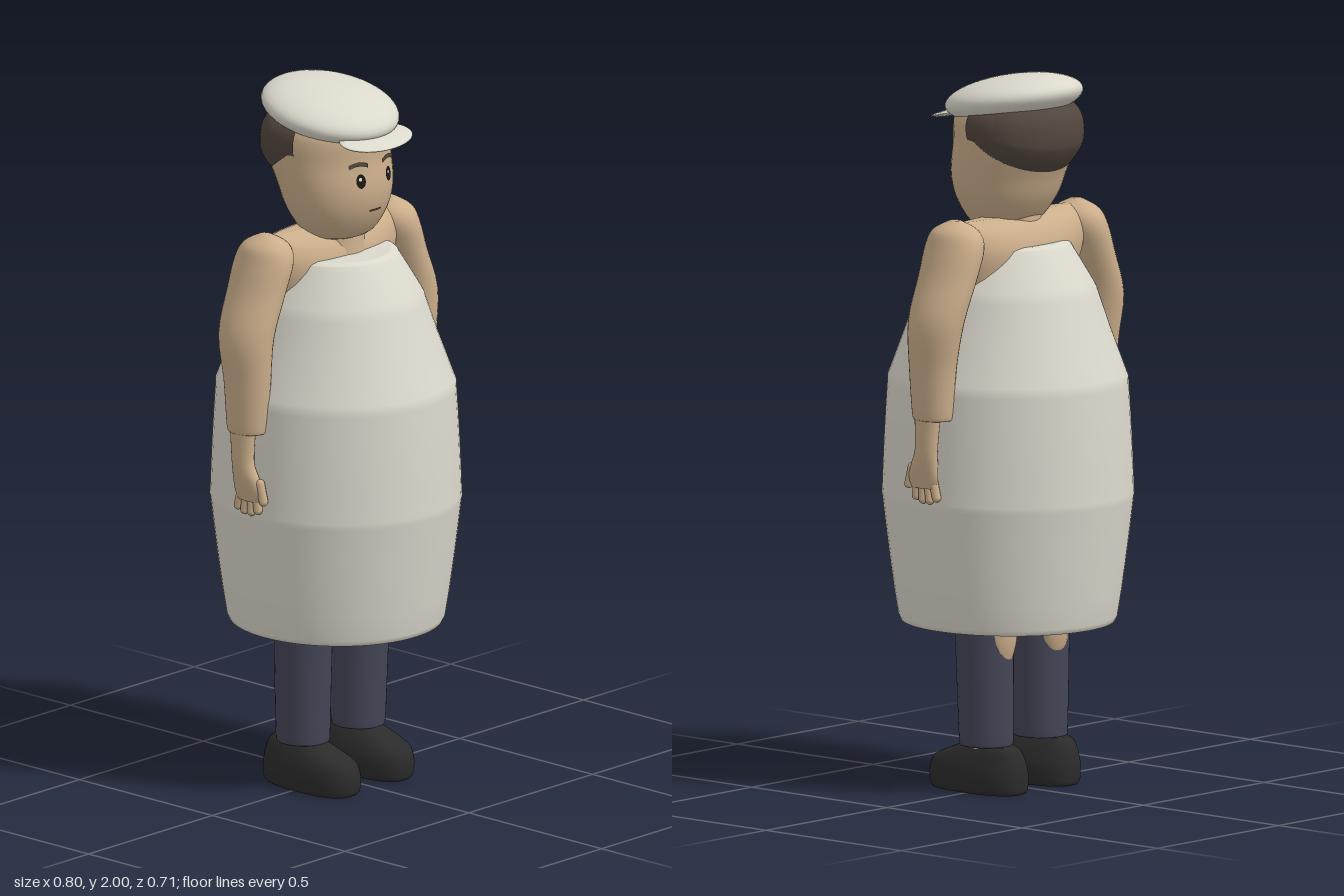
import * as THREE from 'three';
import { ParametricGeometry } from 'three/addons/geometries/ParametricGeometry.js';

const flat = (name, color, side = THREE.FrontSide) => {
  const m = new THREE.MeshStandardMaterial({ color, side });
  m.name = name;
  return m;
};

// Catmull-Rom through rows of numbers, n steps per span
function smoothRows(rows, n) {
  const out = [];
  for (let j = 0; j < rows.length - 1; j++) {
    const p = [-1, 0, 1, 2].map(k => rows[THREE.MathUtils.clamp(j + k, 0, rows.length - 1)]);
    for (let s = 0; s < n; s++) {
      const t = s / n;
      out.push(p[1].map((b, i) => {
        const a = p[0][i], c = p[2][i], d = p[3][i];
        return b + 0.5 * t * (c - a + t * (2 * a - 5 * b + 4 * c - d + t * (3 * (b - c) + d - a)));
      }));
    }
  }
  out.push(rows[rows.length - 1]);
  return out;
}

const bend = (v, power) => Math.sign(v) * Math.abs(v) ** (2 / power);

// Closed solid from stacked rings [y, centreX, centreZ, radiusX, radiusZ], lowest first
function loft(rows, { seg = 32, power = 2, steps = 4 } = {}) {
  const r = smoothRows(rows, steps), first = r[0], last = r[r.length - 1];
  const point = q => [q[0], q[1], q[2], 0, 0];
  const rings = [point(first), first, ...r, last, point(last)];
  const pos = [], index = [];
  rings.forEach(([y, cx, cz, rx, rz], j) => {
    for (let i = 0; i < seg; i++) {
      const t = i / seg * Math.PI * 2;
      pos.push(cx + rx * bend(Math.cos(t), power), y, cz + rz * bend(Math.sin(t), power));
      if (j === rings.length - 1) continue;
      const a = j * seg + i, b = j * seg + (i + 1) % seg, c = a + seg, d = b + seg;
      index.push(a, c, b, b, c, d);
    }
  });
  const g = new THREE.BufferGeometry();
  g.setAttribute('position', new THREE.Float32BufferAttribute(pos, 3));
  g.setIndex(index);
  g.computeVertexNormals();
  return g;
}

// Head rings, also used to fit the hair and the face
const HEAD = [
  [1.568, 0, 0.01, 0.06, 0.05], [1.585, 0, 0.01, 0.108, 0.09], [1.65, 0, 0.005, 0.147, 0.135],
  [1.72, 0, -0.003, 0.164, 0.157], [1.80, 0, -0.025, 0.171, 0.17], [1.88, 0, -0.025, 0.165, 0.165],
  [1.93, 0, -0.025, 0.12, 0.12],
];
const HEAD_FINE = smoothRows(HEAD, 8);
function headRing(y) {
  const j = Math.max(1, HEAD_FINE.findIndex(r => r[0] >= y));
  const a = HEAD_FINE[j - 1], b = HEAD_FINE[j], t = (y - a[0]) / (b[0] - a[0]);
  return a.map((v, i) => v + (b[i] - v) * t);
}
// Lays a flat geometry on the front of the face
function onFace(g, x, y, lift) {
  g.translate(x, y, 0);
  const p = g.attributes.position;
  for (let i = 0; i < p.count; i++) {
    const [, , cz, rx, rz] = headRing(p.getY(i));
    p.setZ(i, cz + rz * Math.sqrt(1 - (p.getX(i) / rx) ** 2) + lift);
  }
  g.computeVertexNormals();
  return g;
}

export function createModel() {
  const skin = flat('skin', 0xcbae8b);
  const cream = flat('cream', 0xdbd8cc);
  const navy = flat('trouser navy', 0x444556);
  const black = flat('shoe black', 0x2b2b2c);
  const brown = flat('hair brown', 0x51463d, THREE.DoubleSide);
  const dark = flat('eye dark', 0x1c1815);
  const white = flat('eye glint', 0xe8e4dc);
  const lip = flat('mouth brown', 0x5e4034);

  const model = new THREE.Group();
  model.name = 'figure';
  const add = (name, geometry, material, parent = model) => {
    const m = new THREE.Mesh(geometry, material);
    m.name = name;
    parent.add(m);
    return m;
  };
  const group = name => {
    const g = new THREE.Group();
    g.name = name;
    model.add(g);
    return g;
  };

  // Barrel-shaped garment
  const barrel = [[0.47, 0.297], [0.48, 0.308], [0.64, 0.332], [0.81, 0.353], [0.83, 0.354], [0.98, 0.348],
    [1.13, 0.339], [1.16, 0.333], [1.28, 0.288], [1.38, 0.254], [1.41, 0.241], [1.505, 0.183], [1.52, 0.172], [1.526, 0.155]];
  add('barrel', loft(barrel.map(([y, r]) => [y, 0, 0, r * 0.96, r]), { seg: 64, steps: 2 }), cream);

  // Shoulders and neck
  add('torso', loft([[1.3, 0, -0.03, 0.18, 0.09], [1.42, 0, -0.03, 0.22, 0.1], [1.5, 0, -0.03, 0.25, 0.11],
    [1.55, 0, -0.03, 0.26, 0.098], [1.585, 0, -0.03, 0.25, 0.07], [1.603, 0, -0.03, 0.22, 0.025]]), skin);
  add('neck', loft([[1.45, 0, -0.01, 0.1, 0.11], [1.54, 0, -0.01, 0.085, 0.09], [1.66, 0, -0.01, 0.085, 0.085]]), skin);

  // Head and hair
  add('head', loft(HEAD, { seg: 48 }), skin);
  add('hair', new ParametricGeometry((u, v, target) => {
    const t = -0.15 + u * (Math.PI + 0.3);
    const low = 1.82 - 0.095 * Math.max(0, Math.sin(t)) ** 0.8;
    const y = low + (1.915 - low) * v;
    const [, , cz, rx, rz] = headRing(y);
    const grow = -0.008 + 0.028 * Math.sqrt(Math.min(1, v * 2.5));
    const side = Math.min(1, 0.35 + Math.max(0, Math.sin(t)));
    const g = grow * side;
    target.set((rx + g) * Math.cos(t), y, cz - (rz + g) * Math.sin(t));
  }, 40, 16), brown);

  // Cap with a small peak
  const cap = add('cap', new THREE.SphereGeometry(1, 48, 24), cream);
  cap.scale.set(0.185, 0.065, 0.199);
  cap.position.set(0, 1.925, -0.022);
  cap.rotation.x = 0.19;
  const peak = add('capPeak', new THREE.SphereGeometry(1, 32, 12), cream);
  peak.scale.set(0.13, 0.011, 0.07);
  peak.position.set(0, 1.871, 0.15);
  peak.rotation.x = 0.24;

  // Face
  const face = group('face');
  for (const s of [-1, 1]) {
    const eye = new THREE.CircleGeometry(1, 24).scale(0.014, 0.02, 1);
    add('eye', onFace(eye, s * 0.055, 1.756, 0.004), dark, face);
    add('eyeGlint', onFace(new THREE.CircleGeometry(0.005, 12), s * 0.055 - 0.003, 1.762, 0.006), white, face);
    const brow = new THREE.PlaneGeometry(0.056, 0.012, 10, 1);
    const p = brow.attributes.position;
    for (let i = 0; i < p.count; i++) p.setY(i, p.getY(i) - 9 * p.getX(i) ** 2);
    add('eyebrow', onFace(brow, s * 0.057, 1.804, 0.004), brown, face);
  }
  add('mouth', onFace(new THREE.PlaneGeometry(0.045, 0.006, 8, 1), 0, 1.665, 0.004), lip, face);

  for (const s of [-1, 1]) {
    const side = s > 0 ? 'left' : 'right';
    const mirror = rows => rows.map(([y, x, ...rest]) => [y, s * x, ...rest]);

    // Arm, ending in a cuff
    const arm = group(side + 'Arm');
    add('sleeve', loft(mirror([[1.07, 0.335, -0.022, 0.044, 0.055], [1.08, 0.335, -0.022, 0.05, 0.062],
      [1.21, 0.335, -0.022, 0.057, 0.072], [1.34, 0.33, -0.03, 0.066, 0.086], [1.46, 0.285, -0.033, 0.066, 0.092],
      [1.54, 0.256, -0.032, 0.068, 0.092], [1.585, 0.25, -0.03, 0.056, 0.07], [1.612, 0.25, -0.03, 0.015, 0.02]])), skin, arm);

    // Wrist, palm and fingers
    add('hand', loft(mirror([[0.875, 0.348, 0, 0.016, 0.042], [0.9, 0.35, 0, 0.02, 0.052], [0.94, 0.354, -0.008, 0.024, 0.045],
      [0.99, 0.357, -0.018, 0.025, 0.036], [1.09, 0.354, -0.02, 0.028, 0.043]]), { seg: 24 }), skin, arm);
    for (let i = 0; i < 4; i++) {
      const finger = add('finger', new THREE.CapsuleGeometry(0.013, 0.045, 4, 10), skin, arm);
      finger.position.set(s * 0.346, 0.873 - (i === 1 || i === 2 ? 0.008 : 0), 0.026 - i * 0.022);
      finger.rotation.x = 0.12 * (i - 1);
    }
    const thumb = add('thumb', new THREE.CapsuleGeometry(0.013, 0.05, 4, 10), skin, arm);
    thumb.position.set(s * 0.35, 0.905, 0.047);
    thumb.rotation.x = -0.25;

    // Leg with the calf showing through the back of the trousers
    const leg = group(side + 'Leg');
    add('trouserLeg', loft(mirror([[0.135, 0.112, -0.02, 0.07, 0.072], [0.145, 0.112, -0.02, 0.074, 0.076],
      [0.3, 0.114, -0.018, 0.077, 0.08], [0.55, 0.116, -0.014, 0.081, 0.086]])), navy, leg);
    const calf = add('calf', new THREE.SphereGeometry(1, 24, 16), skin, leg);
    calf.scale.set(0.052, 0.115, 0.042);
    calf.position.set(s * 0.108, 0.46, -0.07);
    add('ankle', loft([[0.1, s * 0.112, -0.02, 0.05, 0.055], [0.16, s * 0.112, -0.02, 0.05, 0.055]]), skin, leg);
    add('shoe', loft(mirror([[0, 0.108, 0.01, 0.068, 0.148], [0.012, 0.108, 0.01, 0.077, 0.156], [0.055, 0.108, 0.01, 0.078, 0.158],
      [0.09, 0.109, 0.004, 0.068, 0.147], [0.12, 0.111, -0.025, 0.053, 0.106], [0.132, 0.111, -0.03, 0.043, 0.085]]),
      { power: 2.6 }), black, leg);
  }
  return model;
}
